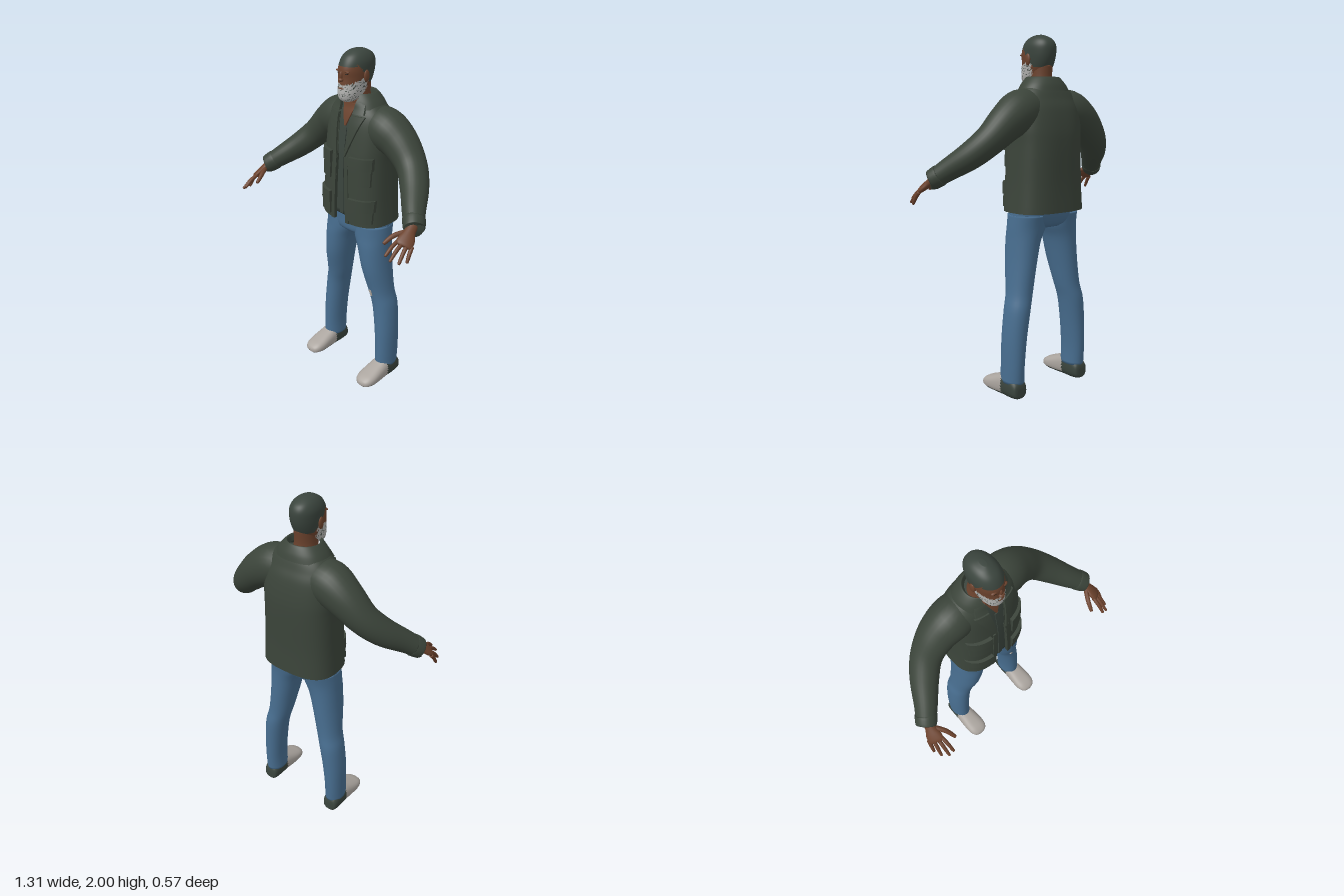
import * as THREE from 'three';

const V = (x, y, z) => new THREE.Vector3(x, y, z);
const mat = (name, color, side = THREE.FrontSide) => {
  const m = new THREE.MeshStandardMaterial({ color, side });
  m.name = name;
  return m;
};
const se = (v, n) => Math.sign(v) * Math.abs(v) ** (2 / n);

// Catmull-Rom refinement of rows of numbers
function smooth(rows, per = 5) {
  const out = [], last = rows.length - 1, at = i => rows[Math.min(last, Math.max(0, i))];
  for (let i = 0; i < last; i++) for (let k = 0; k < per; k++) {
    const t = k / per, a = at(i - 1), b = at(i), c = at(i + 1), d = at(i + 2);
    out.push(b.map((v, j) => {
      const p = c[j] - a[j], q = 2 * a[j] - 5 * v + 4 * c[j] - d[j], r = 3 * (v - c[j]) + d[j] - a[j];
      return v + 0.5 * t * (p + t * (q + t * r));
    }));
  }
  out.push(rows[last]);
  return out;
}

// Surface through rings of points, optionally closed around and capped
function hull(rings, closed = true) {
  const n = rings[0].length, pts = rings.flat(), idx = [], m = closed ? n : n - 1;
  for (let i = 0; i < rings.length - 1; i++) for (let j = 0; j < m; j++) {
    const a = i * n + j, b = i * n + (j + 1) % n;
    idx.push(a, b, b + n, a, b + n, a + n);
  }
  if (closed) [0, rings.length - 1].forEach((r, end) => {
    const c = pts.length;
    pts.push(rings[r].reduce((s, p) => s.add(p), V(0, 0, 0)).divideScalar(n));
    for (let j = 0; j < n; j++) {
      const a = r * n + j, b = r * n + (j + 1) % n;
      if (end) idx.push(a, b, c);
      else idx.push(b, a, c);
    }
  });
  const g = new THREE.BufferGeometry().setFromPoints(pts);
  g.setIndex(idx);
  g.computeVertexNormals();
  return g;
}

// Horizontal ring from [y, cx, cz, rx, rz, n, gap]; the gap leaves the front open
function ring([y, cx, cz, rx, rz, n, gap = 0], seg) {
  const t0 = gap > 0 ? Math.asin((gap / rx) ** (n / 2)) : 0, div = gap > 0 ? seg - 1 : seg;
  return Array.from({ length: seg }, (_, j) => {
    const t = t0 + (2 * Math.PI - 2 * t0) * j / div;
    return V(cx + rx * se(Math.sin(t), n), y, cz + rz * se(Math.cos(t), n));
  });
}
const body = (rows, seg = 40, per = 5) => hull(smooth(rows, per).map(r => ring(r, seg)));

// Limb along rows [x, y, z, rB, rC], cross-section turned to the path
function limb(rows, { ref = V(0, 0, 1), axis, n = 2, seg = 20, per = 5 } = {}) {
  const s = smooth(rows, per), p = s.map(r => V(r[0], r[1], r[2]));
  return hull(s.map((r, i) => {
    const T = axis || p[Math.min(i + 1, p.length - 1)].clone().sub(p[Math.max(i - 1, 0)]).normalize();
    const B = T.clone().cross(ref).normalize(), C = T.clone().cross(B);
    return Array.from({ length: seg }, (_, j) => {
      const t = 2 * Math.PI * j / seg;
      return p[i].clone().addScaledVector(B, r[3] * se(Math.cos(t), n)).addScaledVector(C, r[4] * se(Math.sin(t), n));
    });
  }));
}

// Sort triangles into material groups by centroid
function paint(g, pick) {
  const idx = g.index.array, P = g.attributes.position, buckets = [];
  for (let i = 0; i < idx.length; i += 3) {
    const c = V(0, 0, 0), f = [idx[i], idx[i + 1], idx[i + 2]];
    f.forEach(k => c.add(V(P.getX(k), P.getY(k), P.getZ(k))));
    (buckets[pick(c.divideScalar(3))] ??= []).push(...f);
  }
  const all = [];
  buckets.forEach((b, k) => { g.addGroup(all.length, b.length, k); all.push(...b); });
  g.setIndex(all);
  return g;
}

function mirrored(src) {
  const g = src.clone().scale(-1, 1, 1), a = g.index.array;
  for (let i = 0; i < a.length; i += 3) [a[i], a[i + 1]] = [a[i + 1], a[i]];
  g.computeVertexNormals();
  return g;
}

// Jacket sections, bottom to top
const jacketRows = smooth([
  [1.045, 0, -0.12, 0.225, 0.165, 2.8, 0.045], [1.2, 0, -0.118, 0.215, 0.163, 2.8, 0.04],
  [1.4, 0, -0.122, 0.208, 0.162, 2.7, 0.03], [1.5, 0, -0.125, 0.21, 0.155, 2.6, 0.03],
  [1.6, 0, -0.124, 0.205, 0.139, 2.5, 0.04], [1.66, 0, -0.12, 0.19, 0.12, 2.4, 0.05],
  [1.7, 0, -0.12, 0.16, 0.105, 2.3, 0.055], [1.73, 0, -0.115, 0.125, 0.095, 2.2, 0.055],
  [1.76, 0, -0.115, 0.1, 0.083, 2.1, 0.055]], 6);

function jacketFront(x, y) {
  let i = 0;
  while (i < jacketRows.length - 2 && jacketRows[i + 1][0] < y) i++;
  const a = jacketRows[i], b = jacketRows[i + 1], t = THREE.MathUtils.clamp((y - a[0]) / (b[0] - a[0]), 0, 1);
  const [, , cz, rx, rz, n] = a.map((v, k) => v + (b[k] - v) * t);
  return cz + rz * (1 - Math.min(0.98, Math.abs(x) / rx) ** n) ** (1 / n);
}

// Plate lying on the jacket front between edges a(v) and b(v)
function panel(a, b, y0, y1, lift) {
  const g = new THREE.BoxGeometry(1, 1, 1, 8, 8, 1), P = g.attributes.position;
  for (let i = 0; i < P.count; i++) {
    const u = P.getX(i) + 0.5, v = P.getY(i) + 0.5, x = a(v) + (b(v) - a(v)) * u, y = y0 + (y1 - y0) * v;
    P.setXYZ(i, x, y, jacketFront(x, y) + (P.getZ(i) > 0 ? lift : lift - 0.02));
  }
  g.computeVertexNormals();
  return g;
}

export function createModel() {
  const model = new THREE.Group();
  const M = {
    jacket: mat('jacket green', 0x3b443a, THREE.DoubleSide), dark: mat('cap green', 0x3a443d),
    skin: mat('skin brown', 0x6b422d), beard: mat('beard grey', 0xb2b2b0), denim: mat('denim blue', 0x486e90),
    shoe: mat('shoe grey', 0xaaa49e), shade: mat('near black', 0x20160f),
  };
  const add = (name, g, m) => {
    const mesh = new THREE.Mesh(g, m);
    mesh.name = name;
    model.add(mesh);
  };
  const pair = (name, g, m) => { add(name + 'Left', g, m); add(name + 'Right', mirrored(g), m); };

  // Jeans
  add('hips', body([[0.955, 0, -0.108, 0.17, 0.085, 2], [0.98, 0, -0.112, 0.205, 0.108, 2.2],
    [1.04, 0, -0.12, 0.218, 0.122, 2.3], [1.13, 0, -0.12, 0.195, 0.13, 2.4]]), M.denim);
  pair('leg', body([[0.09, 0.231, -0.123, 0.056, 0.078, 2.1], [0.2, 0.231, -0.127, 0.056, 0.08, 2.1],
    [0.35, 0.222, -0.13, 0.062, 0.081, 2.1], [0.5, 0.203, -0.132, 0.067, 0.082, 2.1],
    [0.6, 0.179, -0.122, 0.069, 0.083, 2.1], [0.75, 0.155, -0.106, 0.078, 0.1, 2.1],
    [0.88, 0.135, -0.103, 0.09, 0.106, 2.1], [0.96, 0.116, -0.108, 0.106, 0.109, 2.1],
    [1.03, 0.112, -0.116, 0.106, 0.115, 2.1]], 32), M.denim);
  const tear = new THREE.Shape([[-0.014, 0.012], [-0.004, 0.02], [0.008, 0.014], [0.013, -0.018], [0.002, -0.02], [-0.003, -0.004]]
    .map(p => new THREE.Vector2(...p)));
  add('kneePatch', new THREE.ExtrudeGeometry(tear, { depth: 0.008, bevelEnabled: false }).rotateX(0.1).translate(0.17, 0.6, -0.043), M.shoe);

  // Shoes: pale uppers, dark heels and soles
  const shoe = limb([[-0.205, 0.07, 0.02, 0.025], [-0.195, 0.1, 0.008, 0.044], [-0.15, 0.13, 0, 0.052],
    [-0.08, 0.13, 0, 0.056], [-0.03, 0.112, 0, 0.06], [0.03, 0.088, 0.002, 0.063], [0.07, 0.072, 0.008, 0.057],
    [0.095, 0.056, 0.014, 0.04], [0.105, 0.042, 0.024, 0.014]]
    .map(([z, top, low, w]) => [0.234, (top + low) / 2, z, w, (top - low) / 2]),
  { ref: V(0, 1, 0), axis: V(0, 0, 1), n: 2.5, seg: 32, per: 6 });
  pair('shoe', paint(shoe, c => (c.z < -0.085 || c.y < 0.022 ? 1 : 0)), [M.shoe, M.dark]);

  // Shirt, bare chest and neck
  add('shirt', body(jacketRows.filter(r => r[0] > 1.08 && r[0] < 1.705)
    .map(r => [r[0], 0, r[2], r[3] - 0.014, r[4] - 0.014, r[5]]), 40, 1), M.dark);
  add('shirtPlacket', panel(() => -0.012, () => 0.012, 1.09, 1.59, -0.009), M.dark);
  add('chest', panel(v => -0.004 - 0.045 * v, v => 0.004 + 0.045 * v, 1.6, 1.72, -0.006), M.skin);
  add('neck', body([[1.6, 0, -0.11, 0.08, 0.08, 2], [1.7, 0, -0.105, 0.068, 0.073, 2], [1.76, 0, -0.095, 0.058, 0.068, 2],
    [1.84, 0, -0.095, 0.057, 0.073, 2]], 28), M.skin);

  // Open jacket with collar, lapels and four flapped pockets
  add('jacket', hull(jacketRows.map(r => ring(r, 72)), false), M.jacket);
  add('collar', hull(smooth([[1.7, 0, -0.117, 0.153, 0.114, 2.2, 0.075], [1.735, 0, -0.115, 0.13, 0.104, 2.2, 0.068],
    [1.768, 0, -0.112, 0.1, 0.088, 2.1, 0.06], [1.772, 0, -0.11, 0.088, 0.08, 2.1, 0.056],
    [1.74, 0, -0.11, 0.078, 0.074, 2, 0.055]]).map(r => ring(r, 56)), false), M.jacket);
  pair('lapel', panel(v => 0.03 + 0.02 * v, v => 0.036 + 0.092 * v, 1.44, 1.665, 0.012), M.jacket);
  pair('collarWing', panel(v => 0.05 + 0.008 * v, v => 0.118 - 0.02 * v, 1.675, 1.75, 0.012), M.jacket);
  pair('frontEdge', panel(v => 0.045 - 0.015 * v, v => 0.07 - 0.015 * v, 1.046, 1.44, 0.006), M.jacket);
  for (const [name, y0, y1, x1] of [['upperPocket', 1.29, 1.44, 0.185], ['lowerPocket', 1.07, 1.2, 0.2]]) {
    pair(name, panel(() => 0.075, () => x1, y0, y1, 0.012), M.jacket);
    pair(name + 'Flap', panel(() => 0.07, () => x1 + 0.005, y1 - 0.06, y1 + 0.008, 0.02), M.jacket);
  }

  // Sleeves and cuffs
  pair('sleeve', limb([[0.06, 1.6, -0.125, 0.1, 0.1], [0.17, 1.59, -0.13, 0.118, 0.115], [0.27, 1.535, -0.137, 0.102, 0.103],
    [0.37, 1.445, -0.12, 0.082, 0.086], [0.45, 1.365, -0.06, 0.073, 0.078], [0.53, 1.29, 0.03, 0.06, 0.063],
    [0.588, 1.238, 0.09, 0.05, 0.053]], { seg: 28 }), M.jacket);
  pair('cuff', limb([[0.561, 1.262, 0.061, 0.054, 0.057], [0.565, 1.258, 0.066, 0.058, 0.061], [0.592, 1.234, 0.094, 0.054, 0.057],
    [0.596, 1.231, 0.098, 0.048, 0.05]], { seg: 28, per: 3 }), M.jacket);

  // Hands
  const ref = V(0.54, 0.74, 0.37);
  pair('palm', limb([[0.575, 1.25, 0.075, 0.03, 0.024], [0.588, 1.22, 0.12, 0.03, 0.021], [0.6, 1.195, 0.155, 0.043, 0.019],
    [0.607, 1.178, 0.182, 0.044, 0.015], [0.61, 1.172, 0.192, 0.036, 0.009]], { ref }), M.skin);
  const tips = [[0.575, 1.14, 0.277], [0.605, 1.122, 0.275], [0.634, 1.106, 0.243], [0.648, 1.102, 0.2]];
  const finger = (a, m, b, r) => limb([[...a, r, r], [...m, r, r], [...b, r * 0.75, r * 0.75],
    [...b.map((v, k) => v + (v - m[k]) * 0.1), r * 0.25, r * 0.25]], { ref, seg: 10, per: 4 });
  tips.forEach((tip, i) => {
    const base = [0.577 + 0.02 * i, 1.19 - 0.008 * i, 0.193 - 0.013 * i];
    const mid = base.map((v, k) => (v + tip[k]) / 2 + (k === 1 ? 0.007 : 0));
    pair('finger' + (i + 1), finger(base, mid, tip, 0.0105), M.skin);
  });
  pair('thumb', finger([0.575, 1.22, 0.13], [0.54, 1.203, 0.185], [0.522, 1.172, 0.232], 0.013), M.skin);

  // Head: close cap and speckled beard painted by region
  let seed = 7;
  const rnd = () => (seed = (seed * 16807) % 2147483647) / 2147483647;
  const headRows = [[1.735, 0.02, -0.05, 0.032], [1.75, 0.035, -0.085, 0.05], [1.78, 0.041, -0.125, 0.062],
    [1.82, 0.037, -0.158, 0.068], [1.86, 0.033, -0.178, 0.073], [1.9, 0.034, -0.188, 0.076], [1.94, 0.021, -0.188, 0.074],
    [1.97, 0, -0.172, 0.061], [1.99, -0.032, -0.138, 0.04], [2, -0.06, -0.105, 0.012]]
    .map(([y, f, b, rx]) => [y, 0, (f + b) / 2, rx, (f - b) / 2, 2.15]);
  const head = paint(body(headRows, 80, 6), ({ y, z }) => {
    if (y > (z > -0.02 ? 1.922 : Math.max(1.825, 1.935 + (z + 0.02) * 1.2))) return 1;
    if (z > -0.1 + rnd() * 0.02 && y < 1.832 + 0.3 * (0.04 - z) - rnd() * 0.012) return rnd() < 0.1 ? 1 : 2;
    return 0;
  });
  add('head', head, [M.skin, M.dark, M.beard]);

  // Face details
  const blob = (x, y, z, a, b, c) => new THREE.SphereGeometry(1, 16, 12).scale(a, b, c).translate(x, y, z);
  add('noseBridge', blob(0, 1.874, 0.033, 0.009, 0.024, 0.011), M.skin);
  add('noseTip', blob(0, 1.853, 0.038, 0.016, 0.01, 0.014), M.skin);
  add('mouth', blob(0, 1.808, 0.038, 0.02, 0.004, 0.004), M.skin);
  pair('eye', blob(0.028, 1.884, 0.023, 0.012, 0.004, 0.007), M.shade);
  pair('brow', blob(0.03, 1.896, 0.022, 0.02, 0.006, 0.01), M.skin);
  pair('ear', blob(0.077, 1.868, -0.075, 0.009, 0.032, 0.019), M.skin);
  return model;
}
